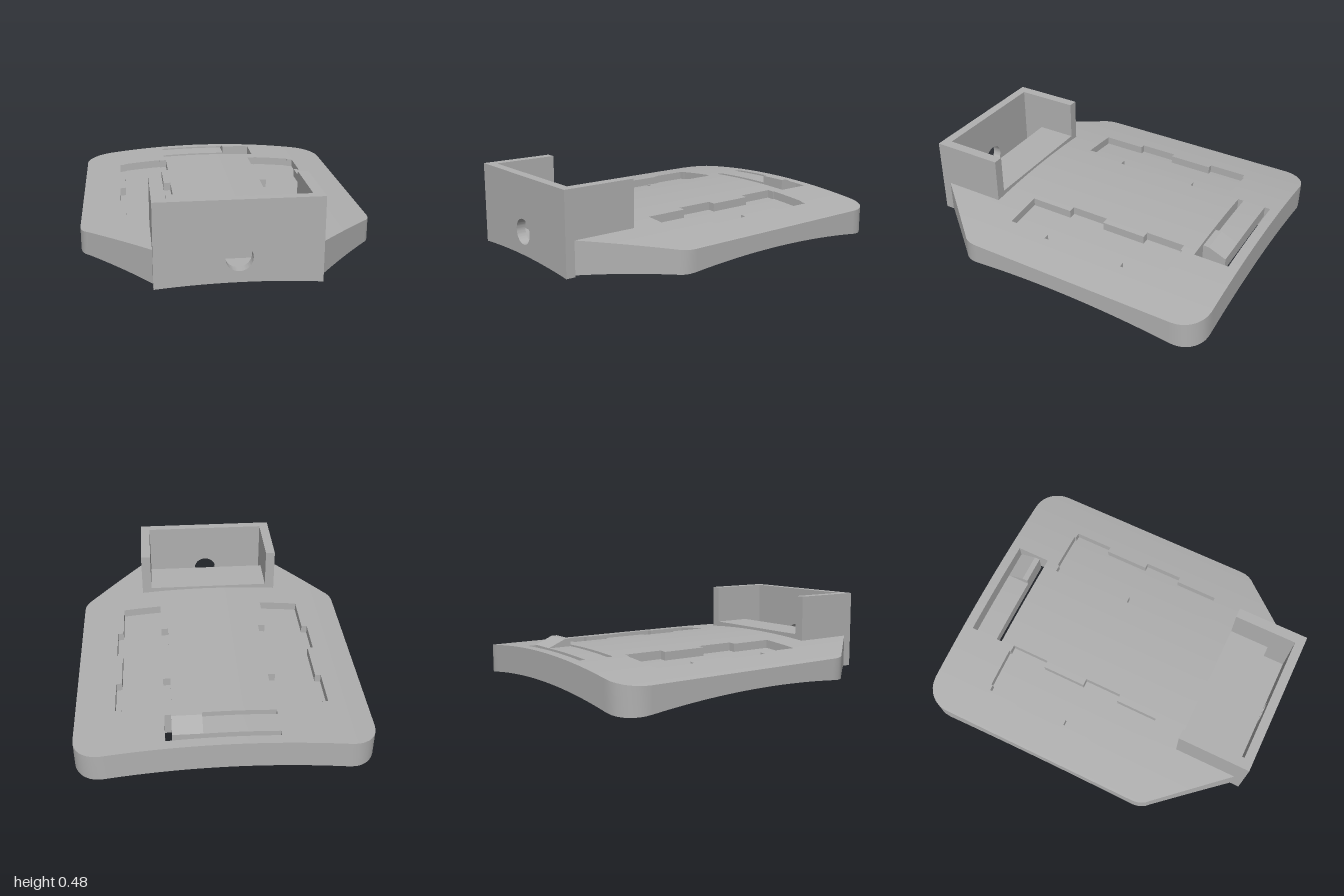
import * as THREE from 'three';
import { toCreasedNormals } from 'three/addons/utils/BufferGeometryUtils.js';

// Curved skins of the plate: arched top, domed underside
const topY = (x) => 0.226 - 0.093 * x * x;
const bottomY = (x, z) => 0.128 - 0.1 * x * x - 0.084 * (z + 0.1) ** 2;

// Outline of the plate, front and back, for a given x
const backZ = (x) => {
  const d = Math.max(0, Math.abs(x) - 0.68);
  return -0.84 - Math.sqrt(Math.max(0, 0.0256 - d * d));
};
const frontZ = (x) => {
  const a = Math.abs(x);
  if (a <= 0.45) return 0.945;
  if (a <= 0.8) return 0.945 - (a - 0.45) * (0.4 / 0.35);
  const t = Math.min(1, (a - 0.8) / 0.04);
  return 0.545 - 0.095 * (0.3 * t + 0.7 * (1 - Math.sqrt(1 - t * t)));
};

const between = (v, a, b) => v > a && v < b;

// Which feature covers the cell centred on x, z
function featureAt(x, z) {
  const a = Math.abs(x);
  if (z > 0.56 && a < 0.45) {
    if (a > 0.39) return 'wall';
    return z < 0.81 ? 'floor' : 'pit';
  }
  if (between(x, -0.3, 0.333) && between(z, -0.94, -0.73)) {
    return x < 0.295 && between(z, -0.905, -0.765) ? 'tongue' : 'void';
  }
  const channel = between(a, 0.333, 0.575) && between(z, -0.655, 0.37);
  const notch = between(a, 0.29, 0.61) && (between(z, -0.645, -0.405) || between(z, -0.13, 0.105));
  return channel || notch ? 'pocket' : 'plate';
}

// Lower and upper height of a feature
function span(kind, x, z) {
  const b = bottomY(x, z), t = topY(x);
  switch (kind) {
    case 'wall': return [b, 0.485];
    case 'floor': return [b, 0.243];
    case 'pit': return [b, 0.08];
    case 'pocket': return [b, t - 0.05];
    case 'tongue': return [0.15, t];
    case 'void': return [0.15, 0.15];
    case 'outside': return [0.1, 0.1];
    default: return [b, t];
  }
}

// Break lines, with extra lines where the gaps are wide
function subdivide(list, step) {
  const out = [list[0]];
  for (let i = 1; i < list.length; i++) {
    const a = list[i - 1], b = list[i], n = Math.ceil((b - a) / step);
    for (let k = 1; k <= n; k++) out.push(k === n ? b : a + ((b - a) * k) / n);
  }
  return out;
}

function bodyGeometry() {
  const half = [0.29, 0.295, 0.3, 0.333, 0.39, 0.45, 0.575, 0.61, 0.68, 0.72, 0.75, 0.78, 0.8, 0.815, 0.828, 0.836, 0.84];
  const xs = subdivide([...half.map((v) => -v).reverse(), 0, ...half], 0.06);
  const zs = subdivide([-1, -0.94, -0.905, -0.765, -0.73, -0.655, -0.645, -0.405, -0.13, 0.105, 0.37, 0.56, 0.81, 0.945], 0.07);
  const nx = xs.length - 1, nz = zs.length - 1;
  const pos = [];
  const ab = new THREE.Vector3(), ac = new THREE.Vector3();

  const tri = (a, b, c, n) => {
    ab.subVectors(b, a);
    ac.subVectors(c, a);
    ab.cross(ac);
    if (ab.length() < 1e-9) return;
    for (const p of ab.dot(n) >= 0 ? [a, b, c] : [a, c, b]) pos.push(p.x, p.y, p.z);
  };
  const quad = (a, b, c, d, n) => { tri(a, b, c, n); tri(a, c, d, n); };
  const V = (p, y) => new THREE.Vector3(p[0], y, p[1]);
  const corner = (i, j) => [xs[i], Math.min(frontZ(xs[i]), Math.max(backZ(xs[i]), zs[j]))];
  const kindAt = (i, j) => i < 0 || j < 0 || i >= nx || j >= nz
    ? 'outside' : featureAt((xs[i] + xs[i + 1]) / 2, (zs[j] + zs[j + 1]) / 2);

  const up = new THREE.Vector3(0, 1, 0), down = new THREE.Vector3(0, -1, 0);
  // Upright faces where a cell stands beyond its neighbour
  const step = (kind, other, p, q, n) => {
    if (kind === other) return;
    const [pb, pt] = span(kind, ...p), [qb, qt] = span(kind, ...q);
    const [ob, ot] = span(other, ...p), [rb, rt] = span(other, ...q);
    if (pt + qt > ot + rt + 1e-6) quad(V(p, ot), V(q, rt), V(q, qt), V(p, pt), n);
    if (pb + qb < ob + rb - 1e-6) quad(V(p, pb), V(q, qb), V(q, rb), V(p, ob), n);
  };

  for (let i = 0; i < nx; i++) {
    for (let j = 0; j < nz; j++) {
      const kind = kindAt(i, j);
      if (kind === 'void') continue;
      const c = [corner(i, j), corner(i + 1, j), corner(i + 1, j + 1), corner(i, j + 1)];
      quad(...c.map((p) => V(p, span(kind, ...p)[1])), up);
      quad(...c.map((p) => V(p, span(kind, ...p)[0])), down);
      step(kind, kindAt(i - 1, j), c[0], c[3], new THREE.Vector3(-1, 0, 0));
      step(kind, kindAt(i + 1, j), c[1], c[2], new THREE.Vector3(1, 0, 0));
      step(kind, kindAt(i, j - 1), c[0], c[1], new THREE.Vector3(0, 0, -1));
      // the front wall closes the middle of the front edge
      const closed = j === nz - 1 && Math.abs(xs[i] + xs[i + 1]) < 0.9;
      if (!closed) step(kind, kindAt(i, j + 1), c[3], c[2], new THREE.Vector3(0, 0, 1));
    }
  }
  const g = new THREE.BufferGeometry();
  g.setAttribute('position', new THREE.Float32BufferAttribute(pos, 3));
  return g;
}

// Front wall with arched lower edge and a round hole
function frontWallGeometry() {
  const s = new THREE.Shape();
  s.moveTo(0.45, 0.485);
  s.lineTo(-0.45, 0.485);
  for (let k = 0; k <= 16; k++) {
    const x = -0.45 + (0.9 * k) / 16;
    s.lineTo(x, bottomY(x, 1));
  }
  s.closePath();
  const hole = new THREE.Path();
  hole.absarc(0, 0.163, 0.074, 0, Math.PI * 2, true);
  s.holes.push(hole);
  return new THREE.ExtrudeGeometry(s, { depth: 0.055, bevelEnabled: false, curveSegments: 32 }).translate(0, 0, 0.945);
}

// Wedge-shaped catch on the free end of the tongue
function catchGeometry() {
  const s = new THREE.Shape([[0.765, 0.18], [0.905, 0.18], [0.905, 0.225], [0.8, 0.27], [0.765, 0.27]]
    .map((p) => new THREE.Vector2(...p)));
  return new THREE.ExtrudeGeometry(s, { depth: 0.17, bevelEnabled: false }).rotateY(Math.PI / 2).translate(0.125, 0, 0);
}

export function createModel() {
  const group = new THREE.Group();
  group.name = 'mountingPlate';
  const grey = new THREE.MeshStandardMaterial({ color: 0xb0b0b0 });
  grey.name = 'grey';
  const add = (name, geometry) => {
    const mesh = new THREE.Mesh(toCreasedNormals(geometry, 0.4), grey);
    mesh.name = name;
    group.add(mesh);
  };
  add('plateBody', bodyGeometry());
  add('frontWall', frontWallGeometry());
  add('latchCatch', catchGeometry());
  return group;
}
